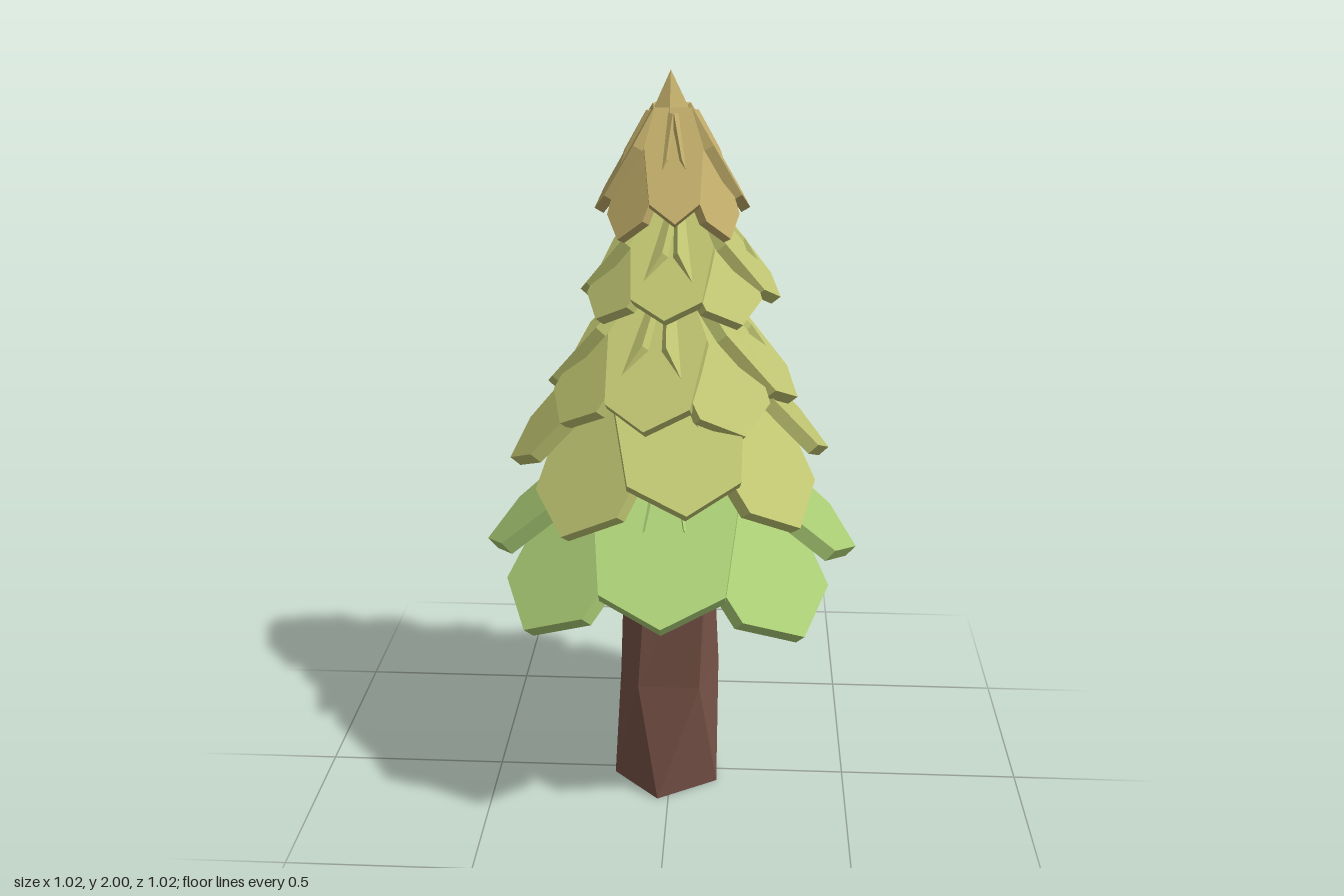
import * as THREE from 'three';

export function createModel() {
  const tree = new THREE.Group();
  tree.name = 'pineTree';
  const mat = (name, color) => {
    const m = new THREE.MeshStandardMaterial({ color, flatShading: true });
    m.name = name;
    return m;
  };
  const bark = mat('bark brown', 0x755146);
  const green = mat('fresh green', 0xa9cc74);
  const olive = mat('olive green', 0xbfc571);
  const tan = mat('tan', 0xc1ad6a);

  // Trunk: irregular six-sided rings (height, then x and z pairs) joined in loops
  const rings = [
    [0, [-0.03, 0.16, 0.135, 0.06, 0.107, -0.1, 0, -0.138, -0.112, -0.1, -0.16, 0.03]],
    [0.34, [-0.085, 0.12, 0.085, 0.12, 0.135, -0.05, 0.06, -0.135, -0.08, -0.12, -0.14, 0.02]],
    [0.8, [-0.055, 0.115, 0.1, 0.1, 0.11, -0.07, 0.05, -0.115, -0.07, -0.11, -0.125, 0]],
    [1.65, [-0.02, 0.04, 0.03, 0.04, 0.04, -0.02, 0.02, -0.04, -0.02, -0.04, -0.04, 0]],
  ];
  const pos = [];
  const point = (k, i) => {
    const [y, p] = rings[k];
    const j = (i % 6) * 2;
    return [p[j], y, p[j + 1]];
  };
  for (let k = 0; k < rings.length - 1; k++) {
    for (let i = 0; i < 6; i++) {
      const a = point(k, i), b = point(k, i + 1), c = point(k + 1, i + 1), d = point(k + 1, i);
      pos.push(...a, ...b, ...c, ...a, ...c, ...d);
    }
  }
  for (let i = 1; i < 5; i++) {
    pos.push(...point(0, 0), ...point(0, i + 1), ...point(0, i));
    pos.push(...point(3, 0), ...point(3, i), ...point(3, i + 1));
  }
  const trunkGeo = new THREE.BufferGeometry();
  trunkGeo.setAttribute('position', new THREE.Float32BufferAttribute(pos, 3));
  trunkGeo.computeVertexNormals();
  const trunk = new THREE.Mesh(trunkGeo, bark);
  trunk.name = 'trunk';
  tree.add(trunk);

  // Sloping shield-shaped plate, pointing away from the axis towards +z
  function leafGeometry({ r, w, thick, root }, slope) {
    const n = Math.hypot(1, slope);
    const half = [[root, 0.24 * r], [w, 0.5 * r], [w * 0.85, 0.87 * r]];
    const pts = half.map(([x, s]) => new THREE.Vector2(x, s * n));
    pts.push(new THREE.Vector2(0, r * n));
    half.slice().reverse().forEach(([x, s]) => pts.push(new THREE.Vector2(-x, s * n)));
    const geo = new THREE.ExtrudeGeometry(new THREE.Shape(pts), { depth: thick, bevelEnabled: false });
    return geo.applyMatrix4(new THREE.Matrix4().makeBasis(
      new THREE.Vector3(1, 0, 0),
      new THREE.Vector3(0, -slope / n, 1 / n),
      new THREE.Vector3(0, -1 / n, -slope / n)));
  }

  // Tiers: r = reach, y = tip height, w = half width, drop = how much lower the steeper diagonal leaves reach
  const tiers = [
    { name: 'bottomTier', m: green, r: 0.508, y: 0.73, w: 0.185, slope: 0.88, thick: 0.04, root: 0.1, drop: 0.09, turn: 0 },
    { name: 'secondTier', m: olive, r: 0.43, y: 0.997, w: 0.165, slope: 1.1, thick: 0.035, root: 0.085, drop: 0.1, turn: 0.14 },
    { name: 'thirdTier', m: olive, r: 0.337, y: 1.178, w: 0.126, slope: 1.15, thick: 0.032, root: 0.065, drop: 0.03, turn: -0.15 },
    { name: 'fourthTier', m: olive, r: 0.262, y: 1.435, w: 0.104, slope: 1.2, thick: 0.03, root: 0.055, drop: 0.025, turn: -0.1, x: 0.022, z: -0.015 },
    { name: 'topTier', m: tan, r: 0.197, y: 1.66, w: 0.072, slope: 1.7, thick: 0.026, root: 0.045, drop: 0.05, turn: 0.08, x: 0.004, z: -0.004 },
  ];
  for (const t of tiers) {
    const group = new THREE.Group();
    group.name = t.name;
    group.position.set(t.x || 0, t.y + t.r * t.slope, t.z || 0);
    const shapes = [leafGeometry(t, t.slope), leafGeometry(t, t.slope + t.drop / t.r)];
    for (let i = 0; i < 8; i++) {
      const leaf = new THREE.Mesh(shapes[i % 2], t.m);
      leaf.name = 'leaf';
      leaf.rotation.y = i * Math.PI / 4 + t.turn;
      group.add(leaf);
    }
    tree.add(group);
  }

  // Pointed peak
  const peak = new THREE.Mesh(new THREE.ConeGeometry(0.085, 0.16, 6), tan);
  peak.name = 'peak';
  peak.position.y = 1.92;
  tree.add(peak);
  return tree;
}
